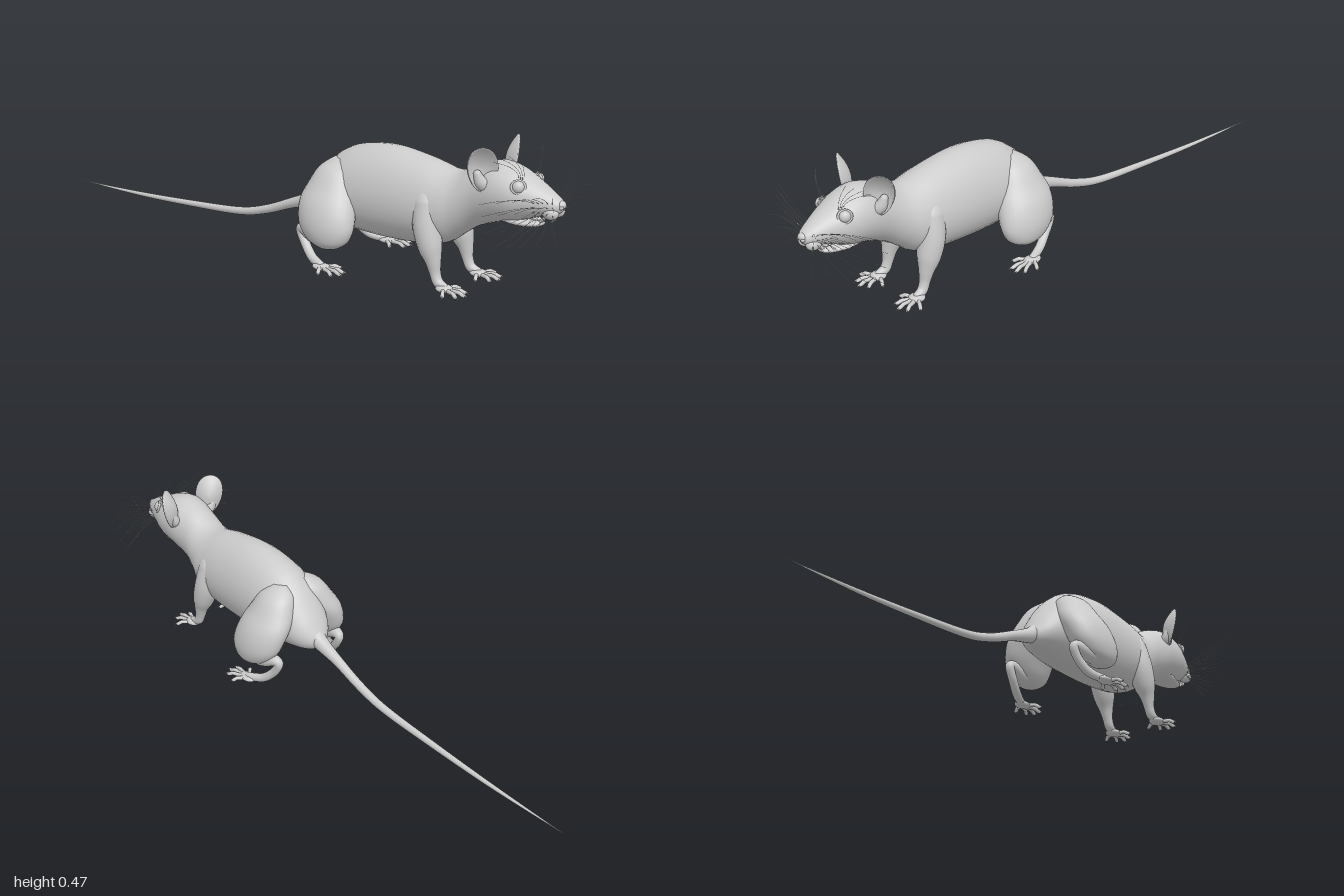
import * as THREE from 'three';

const V = (x, y, z) => new THREE.Vector3(x, y, z);
const material = new THREE.MeshStandardMaterial({ color: 0xcccccc });

// Smoothly interpolates every column of a list of stations
function smooth(rows, per = 5) {
  const out = [], at = i => rows[Math.max(0, Math.min(rows.length - 1, i))];
  for (let i = 0; i < rows.length - 1; i++) {
    for (let k = 0; k < per; k++) {
      const t = k / per;
      out.push(rows[i].map((b, c) => {
        const a = at(i - 1)[c], d = at(i + 1)[c], e = at(i + 2)[c];
        return b + 0.5 * t * (d - a + t * (2 * a - 5 * b + 4 * d - e + t * (3 * (b - d) + e - a)));
      }));
    }
  }
  out.push(rows[rows.length - 1]);
  return out;
}

// Closed smooth skin over a list of equal rings, facing outwards
function skin(rings) {
  const n = rings[0].length, last = rings.length - 1, pts = rings.flat(), idx = [];
  for (let i = 0; i < last; i++) {
    for (let j = 0; j < n; j++) {
      const a = i * n + j, b = i * n + (j + 1) % n;
      idx.push(a, b, a + n, b, b + n, a + n);
    }
  }
  for (const i of [0, last]) {
    const centre = rings[i].reduce((s, p) => s.add(p), V(0, 0, 0)).divideScalar(n);
    pts.push(centre);
    for (let j = 0; j < n; j++) {
      const a = i * n + j, b = i * n + (j + 1) % n;
      idx.push(pts.length - 1, i ? a : b, i ? b : a);
    }
  }
  let volume = 0;
  for (let i = 0; i < idx.length; i += 3) {
    volume += pts[idx[i]].dot(V(0, 0, 0).crossVectors(pts[idx[i + 1]], pts[idx[i + 2]]));
  }
  if (volume < 0) idx.reverse();
  const g = new THREE.BufferGeometry().setFromPoints(pts);
  g.setIndex(idx);
  g.computeVertexNormals();
  return g;
}

const ring = (n, f) => Array.from({ length: n }, (_, j) => f(Math.cos(j / n * 2 * Math.PI), Math.sin(j / n * 2 * Math.PI)));

// Upright sections across z: [z, top, bottom, half width, extra width low down]
const torso = (rows, n = 32) => skin(smooth(rows).map(([z, t, b, w, k]) =>
  ring(n, (c, s) => V(w * c * (1 - k * s), (t + b) / 2 + (t - b) / 2 * s, z))));

// Round limb along stations [x, y, z, radius], with domed ends
function limb(rows, n = 14, per = 5) {
  const st = smooth(rows, per), p = st.map(r => V(r[0], r[1], r[2])), rings = [];
  let side = V(1, 0, 0.13);
  const add = (c, t, r) => {
    const up = V(0, 0, 0).crossVectors(t, side).normalize();
    rings.push(ring(n, (a, b) => c.clone().addScaledVector(side, a * r).addScaledVector(up, b * r)));
  };
  p.forEach((c, i) => {
    const t = p[Math.min(i + 1, p.length - 1)].clone().sub(p[Math.max(i - 1, 0)]).normalize();
    side = side.clone().addScaledVector(t, -side.dot(t)).normalize();
    const r = Math.max(st[i][3], 0.0005), dome = d => [0.5, 0.85].forEach(h => add(c.clone().addScaledVector(t, d * h * r), t, r * Math.sqrt(1 - h * h)));
    if (i === 0) [0.85, 0.5].forEach(h => add(c.clone().addScaledVector(t, -h * r), t, r * Math.sqrt(1 - h * h)));
    add(c, t, r);
    if (i === p.length - 1) dome(1);
  });
  return skin(rings);
}

const ball = (x, y, z, rx, ry, rz) => new THREE.SphereGeometry(1, 20, 14).scale(rx, ry, rz).translate(x, y, z);

// Cupped ear shell: from the middle of the inside, over the rim, to the back
function earShell() {
  const u = V(0.78, 0, -0.62), v = V(0.1, 1, -0.03).normalize(), w = V(0.62, 0, 0.78);
  const layer = (t, thick) => ring(28, (c, s) => {
    const wide = 0.046 * (1 + 0.16 * s) * t * c, bowl = 0.026 * (t * t - 0.75) - thick;
    return V(0.083, 0.4, 0.755).addScaledVector(u, wide).addScaledVector(v, 0.069 * t * s)
      .addScaledVector(w, bowl + 0.008 * s * t);
  });
  const front = [0.05, 0.25, 0.45, 0.65, 0.82, 0.94, 1];
  return skin([...front.map(t => layer(t, 0)), ...front.slice().reverse().map(t => layer(t * 1.01, 0.005))]);
}

export function createModel() {
  const model = new THREE.Group();
  model.name = 'rat';
  const add = (name, geometry) => {
    const mesh = new THREE.Mesh(geometry, material);
    mesh.name = name;
    model.add(mesh);
  };
  // Adds the left part and its mirror image on the right
  const pair = (name, geometry) => {
    add(name + 'Left', geometry);
    const g = geometry.clone().scale(-1, 1, 1);
    g.setIndex(Array.from(g.index.array).reverse());
    g.computeVertexNormals();
    add(name + 'Right', g);
  };

  // Body, neck and upper head in one skin
  add('body', torso([
    [0.062, 0.172, 0.148, 0.012, 0], [0.078, 0.2, 0.132, 0.038, 0], [0.11, 0.25, 0.12, 0.068, 0.05],
    [0.17, 0.322, 0.11, 0.093, 0.08], [0.25, 0.37, 0.104, 0.109, 0.1], [0.38, 0.391, 0.1, 0.112, 0.1],
    [0.52, 0.376, 0.11, 0.108, 0.1], [0.6, 0.358, 0.13, 0.099, 0.08], [0.645, 0.363, 0.162, 0.086, 0.04],
    [0.7, 0.393, 0.2, 0.078, 0], [0.77, 0.414, 0.228, 0.084, 0], [0.83, 0.403, 0.243, 0.08, 0],
    [0.88, 0.38, 0.262, 0.063, 0], [0.92, 0.36, 0.276, 0.046, 0], [0.952, 0.342, 0.284, 0.032, 0],
    [0.97, 0.33, 0.294, 0.02, 0], [0.976, 0.322, 0.304, 0.008, 0]]));
  add('lowerJaw', torso([[0.78, 0.27, 0.24, 0.045, 0], [0.83, 0.264, 0.233, 0.044, 0], [0.87, 0.258, 0.234, 0.033, 0],
    [0.9, 0.258, 0.239, 0.022, 0], [0.914, 0.256, 0.246, 0.01, 0]], 20));
  add('tongue', ball(0, 0.262, 0.885, 0.013, 0.006, 0.025));
  add('tail', limb([[0, 0.18, 0.11, 0.034], [0, 0.154, 0.06, 0.025], [0, 0.125, -0.02, 0.017], [0, 0.083, -0.125, 0.0145],
    [0, 0.054, -0.24, 0.013], [0, 0.036, -0.45, 0.0105], [0, 0.021, -0.71, 0.007], [0, 0.014, -0.999, 0.001]], 16, 7));

  // Face
  add('nose', ball(0, 0.317, 0.97, 0.016, 0.013, 0.013));
  pair('nostril', ball(0.009, 0.312, 0.974, 0.007, 0.007, 0.008));
  pair('whiskerPad', ball(0.017, 0.292, 0.945, 0.02, 0.02, 0.026));
  pair('upperTooth', limb([[0.005, 0.285, 0.948, 0.005], [0.005, 0.27, 0.948, 0.0045], [0.004, 0.26, 0.942, 0.002]], 8));
  pair('lowerTooth', limb([[0.005, 0.248, 0.9, 0.005], [0.005, 0.262, 0.912, 0.0045], [0.004, 0.272, 0.917, 0.002]], 8));
  pair('eye', ball(0.054, 0.361, 0.858, 0.018, 0.019, 0.019));
  const lid = new THREE.TorusGeometry(0.0185, 0.004, 8, 24);
  lid.scale(1.05, 1, 1).rotateX(-0.3).rotateY(0.95).translate(0.057, 0.362, 0.861);
  pair('eyelid', lid);
  pair('ear', earShell());
  pair('earRoot', limb([[0.055, 0.345, 0.755, 0.024], [0.075, 0.36, 0.745, 0.02], [0.085, 0.385, 0.74, 0.012]]));

  // Whiskers on the muzzle and above the eyes
  const hair = (a, m, b) => new THREE.TubeGeometry(new THREE.QuadraticBezierCurve3(a, m, b), 8, 0.0006, 3);
  for (let row = 0; row < 4; row++) {
    for (let i = 0; i < 5; i++) {
      const y = 0.318 - row * 0.011, z = 0.955 - i * 0.011, reach = 0.08 + 0.035 * i - 0.012 * row;
      const x = 0.024 + 0.004 * i, lift = [0.042, 0.015, -0.025, -0.07][row];
      pair('whisker', hair(V(x, y, z), V(x + reach * 0.5, y + lift * 0.8 + 0.015, z + 0.02 - i * 0.004),
        V(x + reach, y + lift, i ? z + 0.025 - i * 0.018 : 1)));
    }
  }
  for (let i = 0; i < 4; i++) {
    pair('browWhisker', hair(V(0.04, 0.38, 0.87 - i * 0.006), V(0.05 + 0.01 * i, 0.43, 0.875),
      V(0.07 + 0.017 * i, 0.465 - 0.008 * i, 0.86 - i * 0.015)));
  }

  // Front legs
  pair('frontLeg', limb([[0.062, 0.26, 0.555, 0.045], [0.079, 0.19, 0.565, 0.043], [0.084, 0.13, 0.582, 0.037],
    [0.086, 0.09, 0.595, 0.025], [0.086, 0.055, 0.603, 0.0175], [0.087, 0.028, 0.615, 0.016], [0.09, 0.017, 0.64, 0.013]], 18));
  pair('frontPaw', ball(0.09, 0.014, 0.64, 0.025, 0.012, 0.028));

  // Hind legs: broad thigh as level sections [y, x, z, half width, half length]
  pair('thigh', skin(smooth([[0.068, 0.145, 0.245, 0.012, 0.015], [0.075, 0.144, 0.243, 0.03, 0.04],
    [0.095, 0.142, 0.238, 0.047, 0.073], [0.13, 0.136, 0.23, 0.059, 0.095], [0.17, 0.124, 0.222, 0.066, 0.1],
    [0.21, 0.106, 0.215, 0.069, 0.096], [0.25, 0.083, 0.212, 0.065, 0.083], [0.3, 0.06, 0.212, 0.052, 0.06],
    [0.33, 0.045, 0.215, 0.02, 0.025]]).map(([y, x, z, a, b]) => ring(28, (c, s) => V(x + a * c, y, z + b * s)))));
  pair('hindLeg', limb([[0.146, 0.1, 0.25, 0.033], [0.14, 0.098, 0.19, 0.028], [0.132, 0.108, 0.14, 0.019],
    [0.13, 0.098, 0.125, 0.015], [0.134, 0.06, 0.147, 0.0145], [0.148, 0.027, 0.185, 0.0145], [0.168, 0.016, 0.235, 0.013]], 16));
  pair('hindPaw', ball(0.168, 0.013, 0.238, 0.023, 0.011, 0.032));

  // Toes with pointed claws: palm centre, then the tip [x, z] of each toe
  const toes = (name, px, pz, tips) => tips.forEach(([x, z]) => {
    const at = (t, y, r) => [px + (x - px) * t, y, pz + (z - pz) * t, r];
    pair(name + 'Toe', limb([at(0.15, 0.013, 0.008), at(0.45, 0.013, 0.0065), at(0.65, 0.014, 0.0065),
      at(0.8, 0.009, 0.0065), at(0.85, 0.008, 0.006)], 10, 3));
    pair(name + 'Claw', limb([at(0.85, 0.011, 0.0035), at(0.94, 0.009, 0.0025), at(1, 0.003, 0.0006)], 7, 3));
  });
  toes('front', 0.09, 0.637, [[0.035, 0.665], [0.062, 0.707], [0.092, 0.722], [0.122, 0.71], [0.147, 0.672]]);
  toes('hind', 0.168, 0.235, [[0.122, 0.285], [0.155, 0.325], [0.182, 0.33], [0.207, 0.312], [0.222, 0.265]]);
  return model;
}
